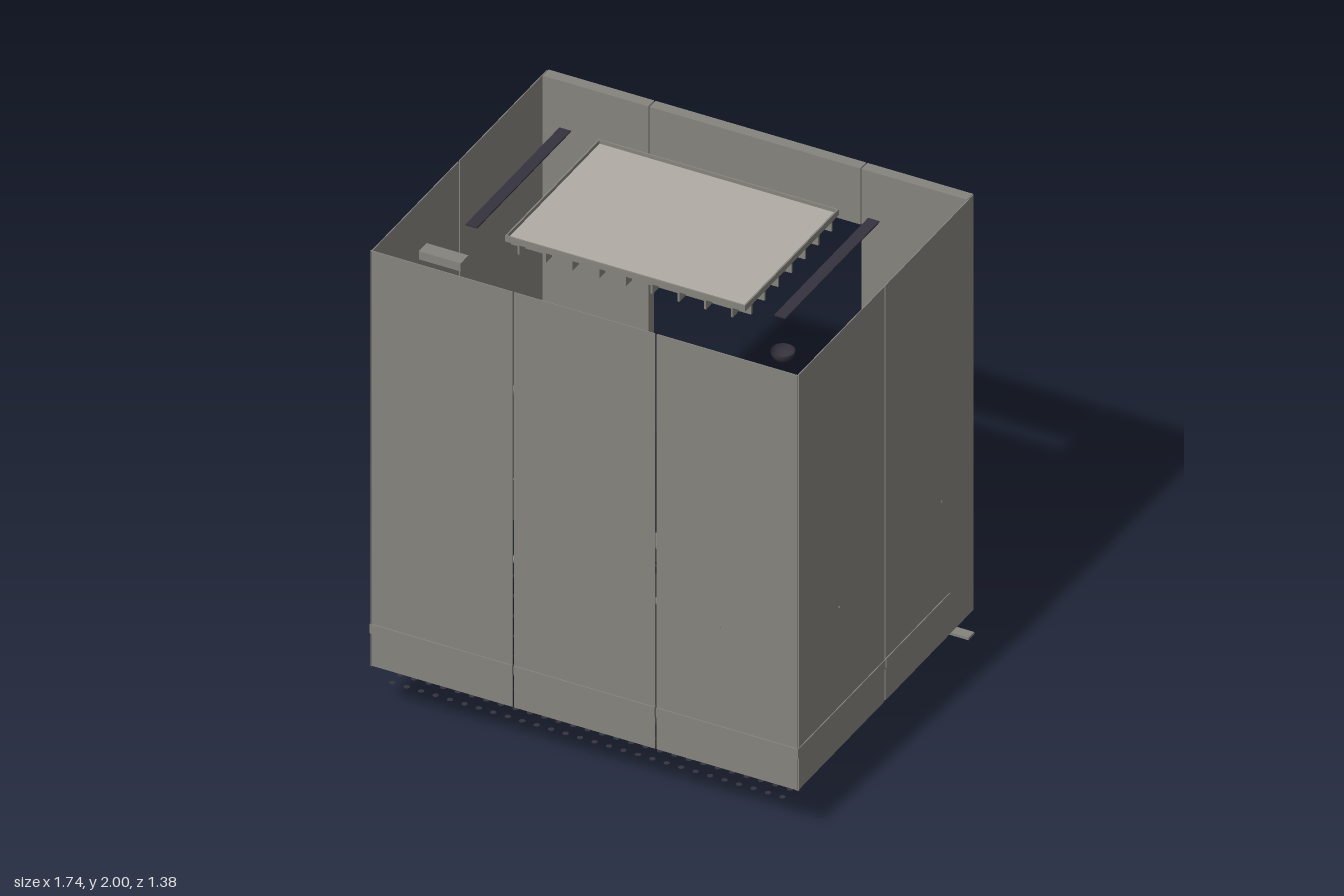
import * as THREE from 'three';
import { mergeGeometries } from 'three/addons/utils/BufferGeometryUtils.js';

export function createModel() {
  const model = new THREE.Group();
  model.name = 'liftCabin';

  const flat = (name, color, side = THREE.FrontSide) => {
    const m = new THREE.MeshStandardMaterial({ color, side });
    m.name = name;
    return m;
  };
  const steel = flat('steelGrey', 0x85837d);
  const dark = flat('darkViolet', 0x35323d, THREE.DoubleSide);
  const beige = flat('lampBeige', 0xb0aca4, THREE.DoubleSide);

  const add = (name, geometry, material) => {
    const mesh = new THREE.Mesh(geometry, material);
    mesh.name = name;
    model.add(mesh);
    return mesh;
  };
  // Box given by its min and max along each axis
  const box = (name, x0, x1, y0, y1, z0, z1, material = steel) =>
    add(name, new THREE.BoxGeometry(x1 - x0, y1 - y0, z1 - z0)
      .translate((x0 + x1) / 2, (y0 + y1) / 2, (z0 + z1) / 2), material);

  // Three front wall panels
  for (const [a, b] of [[-0.87, -0.293], [-0.286, 0.286], [0.293, 0.87]]) {
    box('frontWallPanel', a, b, 0.22, 2, 0.679, 0.683);
    box('frontSkirtingStrip', a, b, 0.36, 0.4, 0.675, 0.688);
  }

  // Two wall panels per side, each with a low strip
  for (const s of [-1, 1]) {
    const side = (name, xIn, xOut, y0, y1, z0, z1) =>
      box(name, Math.min(s * xIn, s * xOut), Math.max(s * xIn, s * xOut), y0, y1, z0, z1);
    side('sideWallPanel', 0.863, 0.867, 0.22, 2, -0.655, 0.015);
    side('sideWallPanel', 0.863, 0.867, 0.22, 2, 0.023, 0.687);
    side('sideSkirtingStrip', 0.859, 0.871, 0.36, 0.4, -0.47, 0.015);
    side('sideSkirtingStrip', 0.859, 0.871, 0.36, 0.4, 0.023, 0.687);
    // Columns beside the doorway
    side('doorColumn', 0.433, 0.862, 0.22, 2, -0.66, -0.615);
  }

  // Lintel, display and control panel on the door side
  box('doorLintel', -0.428, 0.428, 1.76, 2, -0.66, -0.615);
  box('displayPlate', -0.125, 0.13, 1.85, 1.95, -0.665, -0.66);
  box('controlPlate', 0.505, 0.845, 0.75, 1.6, -0.665, -0.66);

  // Door sills and apron
  box('cabinSill', -0.87, 0.87, 0.114, 0.125, -0.655, -0.612);
  box('landingSill', -0.45, 0.445, 0.105, 0.122, -0.694, -0.656);
  add('apron', new THREE.PlaneGeometry(0.895, 0.107).translate(-0.0025, 0.0535, -0.69), dark);

  // Floor mat and grid of floor studs
  add('floorMat', new THREE.PlaneGeometry(0.79, 0.865).rotateX(-Math.PI / 2)
    .translate(-0.003, 0.122, -0.027), dark);
  const studs = [];
  for (let i = 0; i < 28; i++) {
    for (let j = 0; j < 21; j++) {
      studs.push(new THREE.CircleGeometry(0.012, 8).rotateX(-Math.PI / 2)
        .translate(-0.82 + i * 0.0587, 0.12, -0.563 + j * 0.0587));
    }
  }
  add('floorStuds', mergeGeometries(studs), dark);

  // Handrails: front rail with bent ends, one straight rail per side
  const railY = 0.825, railX = 0.829, railZ = 0.642, bend = 0.05;
  const v = (x, z) => new THREE.Vector3(x, railY, z);
  const path = new THREE.CurvePath();
  path.add(new THREE.LineCurve3(v(-railX, 0.53), v(-railX, railZ - bend)));
  path.add(new THREE.QuadraticBezierCurve3(v(-railX, railZ - bend), v(-railX, railZ), v(bend - railX, railZ)));
  path.add(new THREE.LineCurve3(v(bend - railX, railZ), v(railX - bend, railZ)));
  path.add(new THREE.QuadraticBezierCurve3(v(railX - bend, railZ), v(railX, railZ), v(railX, railZ - bend)));
  path.add(new THREE.LineCurve3(v(railX, railZ - bend), v(railX, 0.53)));
  add('frontHandrail', new THREE.TubeGeometry(path, 160, 0.013, 10), steel);
  for (const x of [-0.55, 0, 0.55]) {
    add('railBracket', new THREE.CylinderGeometry(0.005, 0.005, 0.04, 8).rotateX(Math.PI / 2)
      .translate(x, railY, 0.666), steel);
  }
  for (const s of [-1, 1]) {
    add('sideHandrail', new THREE.CylinderGeometry(0.013, 0.013, 0.9, 10).rotateX(Math.PI / 2)
      .translate(s * railX, railY, -0.015), steel);
    for (const z of [-0.41, 0.37]) {
      add('railBracket', new THREE.CylinderGeometry(0.005, 0.005, 0.04, 8).rotateZ(Math.PI / 2)
        .translate(s * 0.85, railY, z), steel);
    }
  }

  // Ceiling lamp: recessed panel, thin rim and lattice below
  const [lx0, lx1, lz0, lz1] = [-0.49, 0.485, -0.345, 0.37];
  box('lampPanel', lx0 + 0.005, lx1 - 0.005, 1.98, 1.985, lz0 + 0.005, lz1 - 0.005, beige);
  for (const z of [lz0, lz1 - 0.006]) box('lampRim', lx0, lx1, 1.975, 2, z, z + 0.006);
  for (const x of [lx0, lx1 - 0.006]) box('lampRim', x, x + 0.006, 1.975, 2, lz0, lz1);
  for (let i = 0; i < 9; i++) {
    const x = lx0 + (i + 0.5) * (lx1 - lx0) / 9;
    box('latticeFin', x - 0.004, x + 0.004, 1.935, 1.98, lz0, lz1);
  }
  for (let j = 0; j < 7; j++) {
    const z = lz0 + (j + 0.5) * (lz1 - lz0) / 7;
    box('latticeFin', lx0, lx1, 1.935, 1.98, z - 0.004, z + 0.004);
  }

  // Ceiling slots, control box and dome
  for (const s of [-1, 1]) {
    box('ceilingSlot', s * 0.627 - 0.023, s * 0.627 + 0.023, 1.994, 2, lz0, lz1, dark);
  }
  box('ceilingBox', -0.715, -0.545, 1.965, 2, 0.545, 0.605);
  add('ceilingDome', new THREE.SphereGeometry(0.045, 24, 10, 0, Math.PI * 2, Math.PI / 2, Math.PI / 2)
    .translate(0.74, 2, 0.56), dark);

  return model;
}
